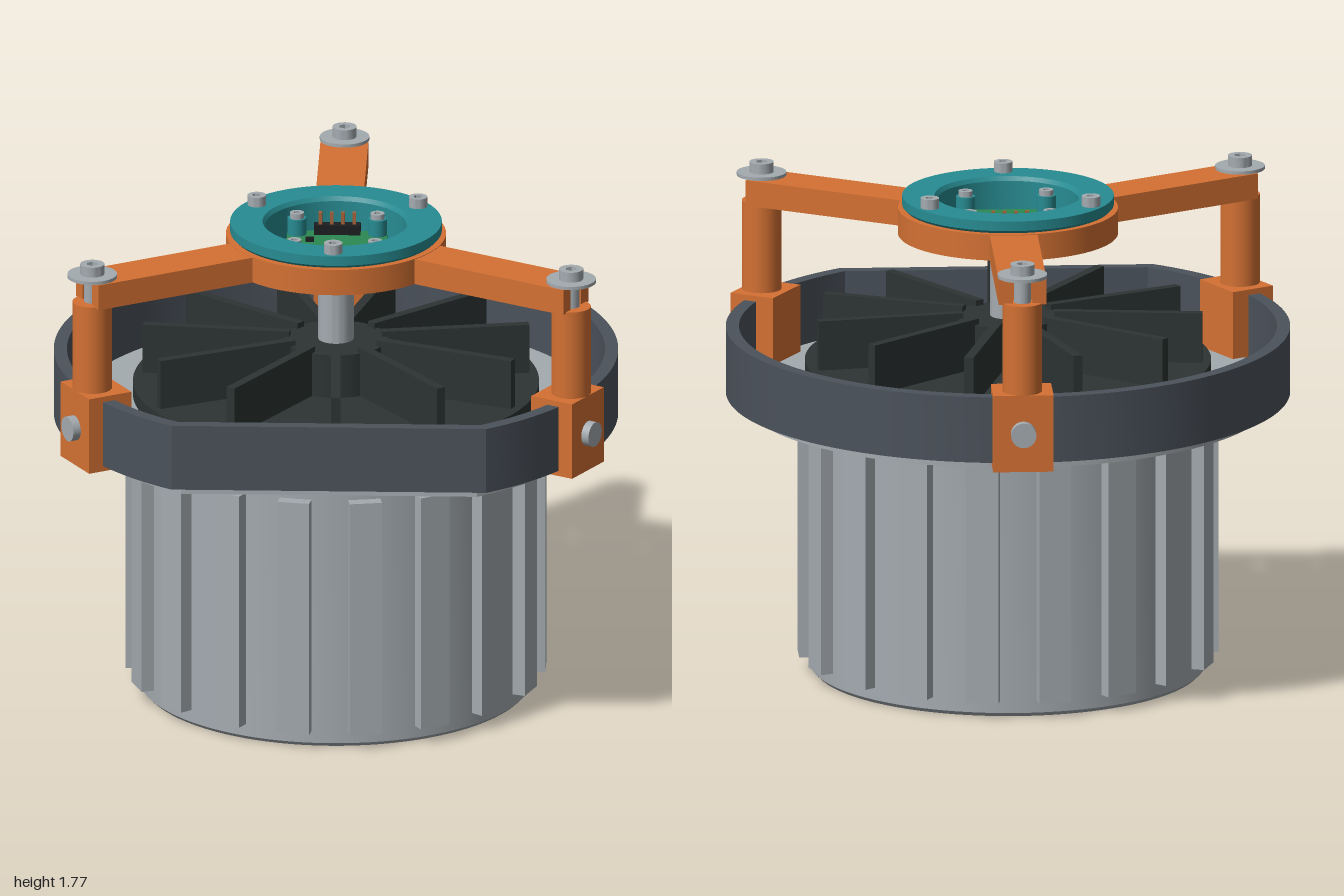
import * as THREE from 'three';
import { toCreasedNormals } from 'three/addons/utils/BufferGeometryUtils.js';

const paint = (name, color) => {
  const m = new THREE.MeshStandardMaterial({ color });
  m.name = name;
  return m;
};

export function createModel() {
  const steel = paint('steel grey', 0xa4abb0);
  const slate = paint('slate', 0x4b525b);
  const charcoal = paint('charcoal', 0x2c3433);
  const orange = paint('orange', 0xd47133);
  const teal = paint('teal', 0x278c92);
  const green = paint('board green', 0x2c8a52);
  const black = paint('black', 0x1c1e20);
  const copper = paint('copper', 0xa8643a);

  const model = new THREE.Group();
  model.name = 'motorWithSensorMount';
  const root = new THREE.Group();
  root.name = 'assembly';
  root.position.z = 0.125;
  model.add(root);

  const add = (parent, name, geo, mat, x = 0, y = 0, z = 0) => {
    const mesh = new THREE.Mesh(geo, mat);
    mesh.name = name;
    mesh.position.set(x, y, z);
    parent.add(mesh);
    return mesh;
  };
  const group = (parent, name, angle = 0) => {
    const g = new THREE.Group();
    g.name = name;
    g.rotation.y = angle;
    parent.add(g);
    return g;
  };
  // Boxes and cylinders stand on the given y
  const box = (p, name, mat, w, h, d, x, y, z) =>
    add(p, name, new THREE.BoxGeometry(w, h, d), mat, x, y + h / 2, z);
  const rod = (p, name, mat, r, h, x, y, z, sides = 32) =>
    add(p, name, new THREE.CylinderGeometry(r, r, h, sides), mat, x, y + h / 2, z);
  const lathe = (pts) => toCreasedNormals(
    new THREE.LatheGeometry(pts.map(([r, y]) => new THREE.Vector2(r, y)), 96), 0.4);
  // Extrudes a plan outline upwards
  const slab = (shape, h) => toCreasedNormals(
    new THREE.ExtrudeGeometry(shape, { depth: h, bevelEnabled: false, curveSegments: 96 })
      .rotateX(-Math.PI / 2), 0.4);
  // Circle cut by a flat on the front
  const dShape = (r, flat, Type = THREE.Shape) => {
    const a = Math.asin(flat / r);
    const s = new Type();
    s.absarc(0, 0, r, -a, Math.PI + a, false);
    s.closePath();
    return s;
  };
  const circle = (r, Type = THREE.Shape) => {
    const s = new Type();
    s.absarc(0, 0, r, 0, Math.PI * 2, false);
    return s;
  };
  // Cylindrical screw head with a hexagonal socket
  const socketHead = (p, name, r, h, x, y, z) => {
    const s = circle(r);
    const hex = new THREE.Path();
    hex.setFromPoints([0, 1, 2, 3, 4, 5].map((i) => new THREE.Vector2(
      Math.cos(i * Math.PI / 3) * r * 0.5, Math.sin(i * Math.PI / 3) * r * 0.5)));
    s.holes.push(hex);
    const geo = toCreasedNormals(new THREE.ExtrudeGeometry(s,
      { depth: h, bevelEnabled: false, curveSegments: 16 }).rotateX(-Math.PI / 2), 0.5);
    const g = group(p, name);
    g.position.set(x, y, z);
    add(g, 'head', geo, steel);
    rod(g, 'socketFloor', steel, r * 0.7, h * 0.4, 0, 0, 0, 16);
    return g;
  };

  // Motor can with cooling ribs
  const can = group(root, 'motorCan');
  add(can, 'canBody', lathe([[0, 0], [0.685, 0], [0.7, 0.015], [0.7, 0.98], [0, 0.98]]), steel);
  for (let i = 0; i < 18; i++) {
    const rib = group(can, 'rib', i * Math.PI / 9);
    box(rib, 'ribBar', steel, 0.07, 0.87, 0.115, 0.709, 0.06, 0);
  }
  add(can, 'flange', slab(dShape(0.935, 0.775), 0.05), steel, 0, 0.975, 0);

  // Guard ring around the flange
  const guard = dShape(1, 0.83);
  guard.holes.push(dShape(0.953, 0.787, THREE.Path));
  add(root, 'guardRing', slab(guard, 0.24), slate, 0, 1.01, 0);

  // Fan with eleven blades
  const fan = group(root, 'fan');
  rod(fan, 'fanNeck', charcoal, 0.3, 0.07, 0, 1.02, 0, 48);
  rod(fan, 'fanDisc', charcoal, 0.72, 0.05, 0, 1.08, 0, 96);
  rod(fan, 'fanHub', charcoal, 0.185, 0.165, 0, 1.125, 0, 48);
  for (let i = 0; i < 11; i++) {
    const blade = group(fan, 'blade', -Math.PI * 88.3 / 180 + i * Math.PI * 2 / 11);
    box(blade, 'bladePlate', charcoal, 0.525, 0.185, 0.034, 0.4275, 1.125, 0);
  }

  // Shaft with a small magnet tip
  add(root, 'shaft', lathe([[0, 1.2], [0.063, 1.2], [0.063, 1.505], [0.058, 1.512],
    [0.046, 1.512], [0.046, 1.537], [0.04, 1.545], [0, 1.545]]), steel);

  // Centre hub of the bracket
  const hub = circle(0.39);
  hub.holes.push(circle(0.298, THREE.Path));
  add(root, 'hubRing', slab(hub, 0.095), orange, 0, 1.59, 0);

  // Three arms, each with a post, a clamp and bolts
  const armShape = new THREE.Shape([
    [0.345, -0.085], [1.0, -0.085], [1.0, -0.035], [0.945, -0.035],
    [0.945, 0.035], [1.0, 0.035], [1.0, 0.085], [0.345, 0.085],
  ].map(([x, y]) => new THREE.Vector2(x, y)));
  for (let i = 0; i < 3; i++) {
    const leg = group(root, 'supportLeg', Math.PI / 2 + i * Math.PI * 2 / 3);
    add(leg, 'arm', slab(armShape, 0.093), orange, 0, 1.59, 0);
    rod(leg, 'post', orange, 0.07, 0.34, 0.98, 1.255, 0);
    box(leg, 'clamp', orange, 0.17, 0.28, 0.214, 0.965, 0.99, 0);
    rod(leg, 'boltShank', steel, 0.03, 0.1, 0.98, 1.59, 0, 24);
    rod(leg, 'washer', steel, 0.088, 0.012, 0.98, 1.686, 0, 40);
    socketHead(leg, 'boltHead', 0.043, 0.037, 0.98, 1.698, 0);
    const side = add(leg, 'clampBolt',
      new THREE.CylinderGeometry(0.045, 0.045, 0.04, 24), steel, 1.06, 1.13, 0);
    side.rotation.z = -Math.PI / 2;
  }

  // Sensor carrier ring
  const carrier = group(root, 'sensorCarrier');
  add(carrier, 'carrierRing', lathe([[0.25, 1.6], [0.298, 1.6], [0.298, 1.685], [0.365, 1.685],
    [0.375, 1.695], [0.375, 1.73], [0.26, 1.73], [0.25, 1.715], [0.25, 1.6]]), teal);
  for (let i = 0; i < 3; i++) {
    const a = Math.PI / 2 + i * Math.PI * 2 / 3;
    socketHead(carrier, 'carrierScrew', 0.033, 0.036,
      Math.cos(a) * 0.33, 1.73, Math.sin(a) * 0.33);
  }

  // Circuit board with corner mounts, header and chips
  const board = group(root, 'sensorBoard');
  box(board, 'boardPlate', green, 0.355, 0.02, 0.355, 0, 1.61, 0);
  box(board, 'sensorChip', black, 0.085, 0.035, 0.085, 0, 1.575, 0);
  for (const x of [-0.143, 0.143]) {
    for (const z of [-0.143, 0.143]) {
      rod(board, 'cornerMount', teal, 0.034, 0.06, x, 1.63, z, 24);
      socketHead(board, 'cornerScrew', 0.025, 0.02, x, 1.69, z);
      rod(board, 'screwTip', steel, 0.013, 0.07, x, 1.545, z, 16);
    }
  }
  box(board, 'header', black, 0.165, 0.035, 0.04, 0, 1.63, -0.15);
  for (let i = 0; i < 4; i++) {
    box(board, 'headerPin', copper, 0.013, 0.08, 0.013, -0.06 + i * 0.04, 1.63, -0.15);
  }
  for (const [x, z] of [[-0.095, -0.065], [-0.115, 0.06], [0.095, 0.06]]) {
    box(board, 'chip', black, 0.03, 0.014, 0.016, x, 1.63, z);
  }
  return model;
}
